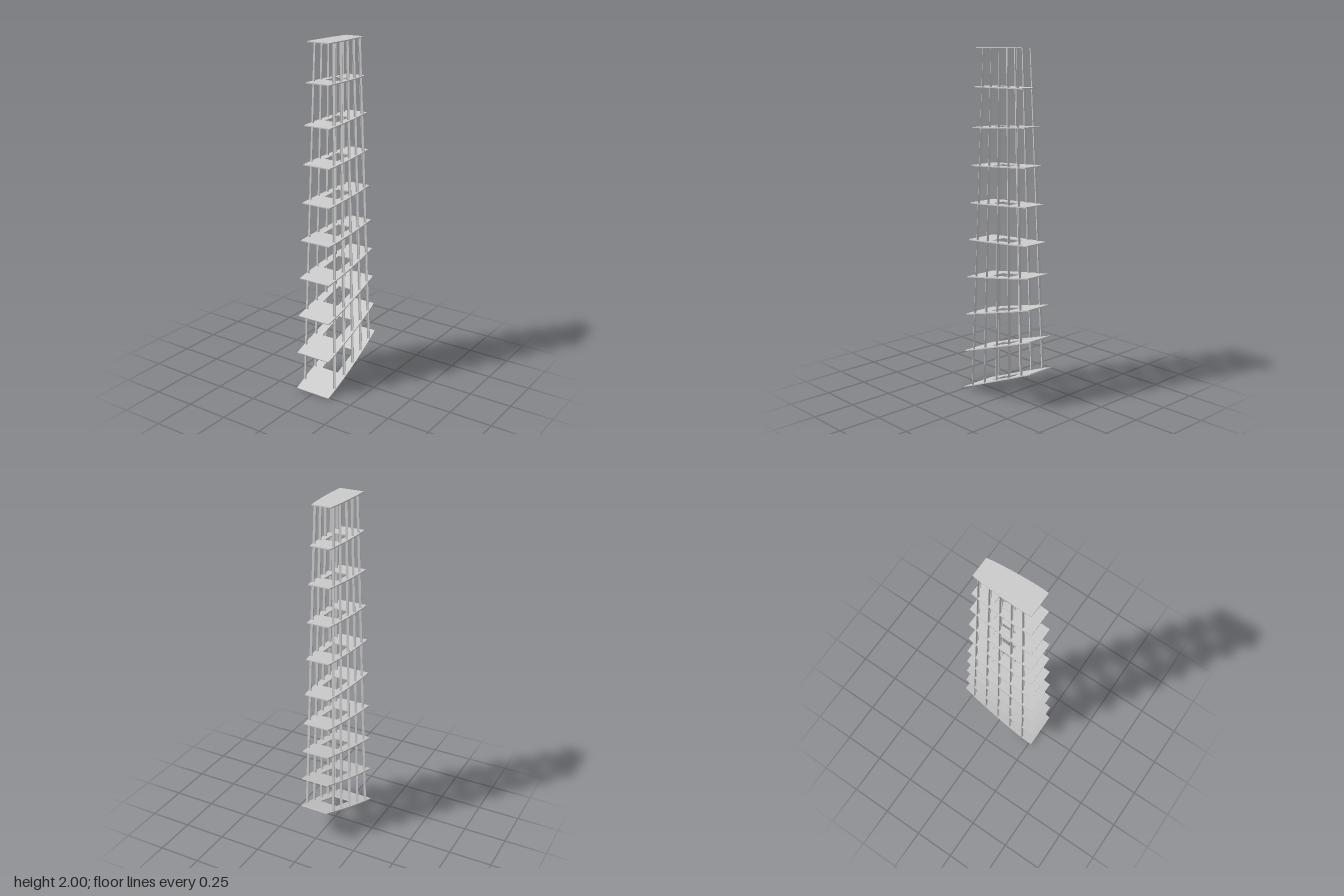
import * as THREE from 'three';

const THICK = 0.006;
// front z, front y, back z, back y of every rib, bottom to top
const RIBS = [
  [0.265, 0.003, -0.265, 0.217],
  [0.26, 0.23, -0.255, 0.4],
  [0.25, 0.458, -0.245, 0.58],
  [0.24, 0.685, -0.235, 0.757],
  [0.23, 0.908, -0.225, 0.937],
  [0.22, 1.124, -0.21, 1.148],
  [0.212, 1.34, -0.2, 1.362],
  [0.205, 1.555, -0.187, 1.576],
  [0.193, 1.783, -0.17, 1.783],
  [0.184, 1.997, -0.156, 1.997],
];
// stringers: bottom x, bottom z, top x, top z (outer edge of the angle section)
const STRINGERS = [
  [0.114, 0.192, 0.068, 0.13],
  [0.111, 0.091, 0.068, 0.067],
  [0.106, -0.006, 0.068, 0.004],
  [0.1, -0.103, 0.064, -0.06],
  [0.095, -0.197, 0.061, -0.124],
];

const material = new THREE.MeshStandardMaterial({ color: 0xcccccc, side: THREE.DoubleSide });

// Curved side of a unit rib: x half width, y = -z along the rib
const sideCurve = new THREE.SplineCurve([
  [0.111, -0.265], [0.114, -0.19], [0.113, -0.09], [0.11, 0],
  [0.104, 0.1], [0.095, 0.2], [0.086, 0.265],
].map(([x, y]) => new THREE.Vector2(x, y)));

function makeRib([zf, yf, zb, yb], index) {
  const length = Math.hypot(zf - zb, yb - yf);
  const sx = (zf - zb) / 0.53, sy = length / 0.53;
  const right = sideCurve.getPoints(16).map(p => new THREE.Vector2(p.x * sx, p.y * sy));
  const left = right.map(p => new THREE.Vector2(-p.x, p.y)).reverse();
  const shape = new THREE.Shape([...right, ...left]);
  // lightening hole in the middle third; the top rib is closed
  if (index < RIBS.length - 1) {
    const hx = 0.054 * sx, hy = length / 6;
    shape.holes.push(new THREE.Path([[-hx, -hy], [-hx, hy], [hx, hy], [hx, -hy]]
      .map(([x, y]) => new THREE.Vector2(x, y))));
  }
  const geo = new THREE.ExtrudeGeometry(shape, { depth: THICK, bevelEnabled: false });
  geo.translate(0, 0, -THICK / 2).rotateX(-Math.PI / 2);
  const rib = new THREE.Mesh(geo, material);
  rib.position.set(0, (yf + yb) / 2, (zf + zb) / 2);
  rib.rotation.x = Math.atan2(yb - yf, zf - zb);
  rib.name = index === 0 ? 'bottomRib' : index === RIBS.length - 1 ? 'topRib' : `rib${index + 1}`;
  return rib;
}

// Angle-section stringer running from the bottom rib to the top rib
function makeStringer([bx, bz, tx, tz], side) {
  const w = 0.015, lip = 0.007, t = 0.002;
  const section = [[0, 0], [-w, 0], [-w, -lip], [-w + t, -lip], [-w + t, -t], [0, -t]];
  const shape = new THREE.Shape(section.map(([x, y]) => new THREE.Vector2(x * side, y)));
  const geo = new THREE.ExtrudeGeometry(shape, { depth: 1, bevelEnabled: false });
  const pos = geo.attributes.position;
  for (let i = 0; i < pos.count; i++) {
    const k = pos.getZ(i);
    const z = THREE.MathUtils.lerp(bz, tz, k) - pos.getY(i);
    const bottomY = 0.11 - 0.404 * z;
    pos.setXYZ(i,
      side * THREE.MathUtils.lerp(bx, tx, k) + pos.getX(i),
      THREE.MathUtils.lerp(bottomY, 2, k), z);
  }
  geo.computeVertexNormals();
  return new THREE.Mesh(geo, material);
}

export function createModel() {
  const model = new THREE.Group();
  model.name = 'taperedRibFrame';

  const ribs = new THREE.Group();
  ribs.name = 'ribs';
  RIBS.forEach((r, i) => ribs.add(makeRib(r, i)));
  model.add(ribs);

  for (const side of [1, -1]) {
    const group = new THREE.Group();
    group.name = side > 0 ? 'leftStringers' : 'rightStringers';
    STRINGERS.forEach((s, i) => {
      const mesh = makeStringer(s, side);
      mesh.name = `${side > 0 ? 'left' : 'right'}Stringer${i + 1}`;
      group.add(mesh);
    });
    model.add(group);
  }
  return model;
}
